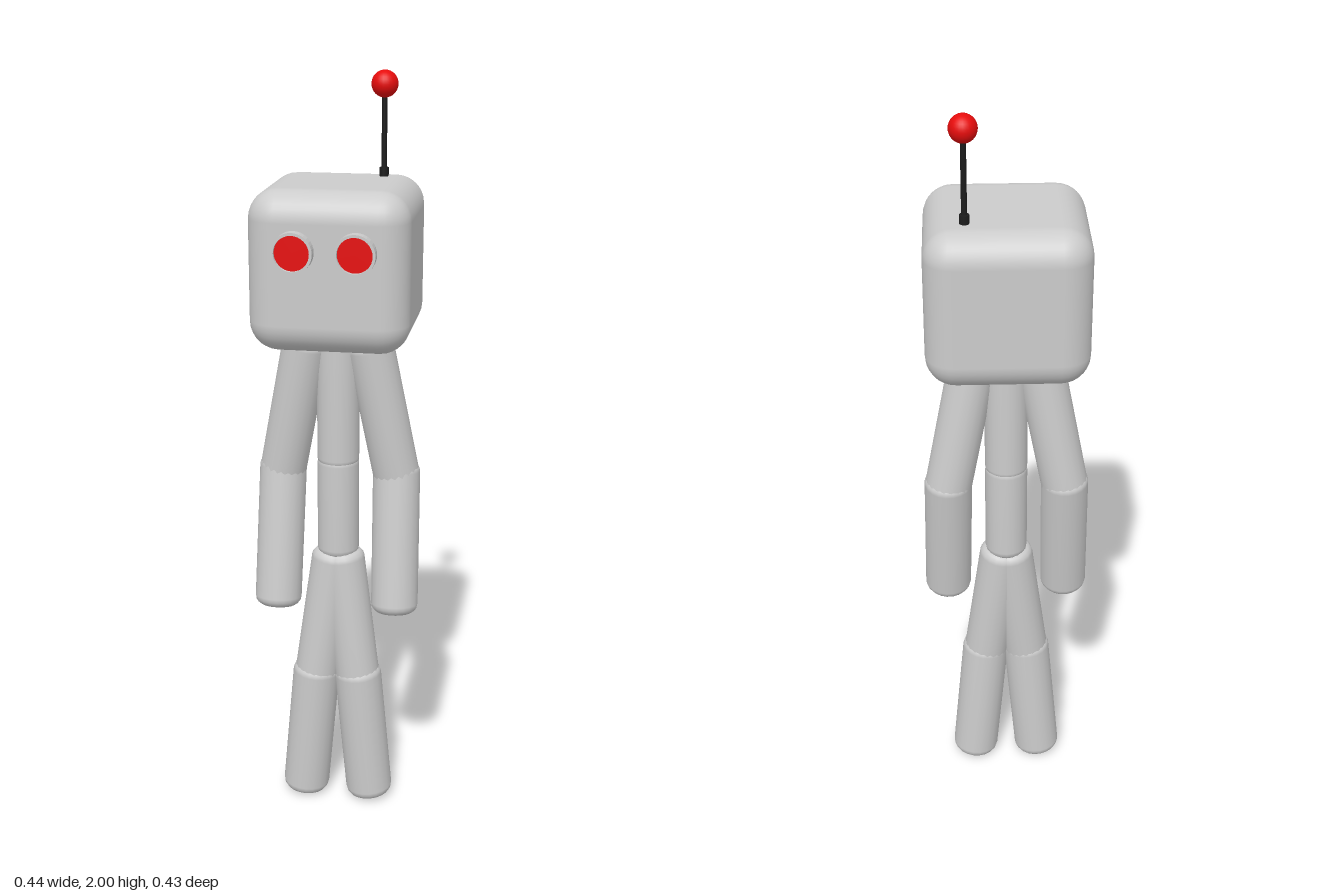
import * as THREE from 'three';
import { RoundedBoxGeometry } from 'three/addons/geometries/RoundedBoxGeometry.js';

const grey = new THREE.MeshStandardMaterial({ color: 0xcccccc });
const red = new THREE.MeshStandardMaterial({ color: 0xe60c0c });
const black = new THREE.MeshStandardMaterial({ color: 0x1c1c1c });

function add(parent, name, geometry, material, x = 0, y = 0, z = 0) {
  const mesh = new THREE.Mesh(geometry, material);
  mesh.name = name;
  mesh.position.set(x, y, z);
  parent.add(mesh);
  return mesh;
}

// Cylinder with softly rounded ends, running from point a to point b
function segment(parent, name, a, b, radius) {
  const from = new THREE.Vector3(...a), to = new THREE.Vector3(...b);
  const half = from.distanceTo(to) / 2, bevel = 0.026, steps = 4;
  const profile = [new THREE.Vector2(0, -half)];
  for (const end of [-1, 1]) {
    for (let i = 0; i <= steps; i++) {
      const t = (end < 0 ? i : steps - i) / steps * Math.PI / 2;
      profile.push(new THREE.Vector2(
        radius - bevel + bevel * Math.sin(t),
        end * (half - bevel + bevel * Math.cos(t))));
    }
  }
  profile.push(new THREE.Vector2(0, half));
  const mesh = add(parent, name, new THREE.LatheGeometry(profile, 20), grey);
  mesh.position.copy(from).add(to).multiplyScalar(0.5);
  mesh.quaternion.setFromUnitVectors(new THREE.Vector3(0, 1, 0), to.sub(from).normalize());
}

export function createModel() {
  const model = new THREE.Group();
  model.name = 'robot';

  // Head
  const head = new THREE.Group();
  head.name = 'headGroup';
  model.add(head);
  add(head, 'head', new RoundedBoxGeometry(0.404, 0.404, 0.404, 4, 0.075), grey, 0, 1.535, -0.015);

  // Eyes: a short tube with a red lens set just inside it
  const rim = [[0.044, -0.03], [0.051, -0.03], [0.051, 0.03], [0.044, 0.03], [0.044, -0.03]]
    .map(([r, y]) => new THREE.Vector2(r, y));
  for (const [side, s] of [['left', 1], ['right', -1]]) {
    const eye = new THREE.Group();
    eye.name = side + 'Eye';
    eye.position.set(s * 0.077, 1.595, 0.184);
    eye.rotation.x = Math.PI / 2;
    head.add(eye);
    const tube = new THREE.LatheGeometry(rim, 32).toNonIndexed();
    tube.computeVertexNormals();
    add(eye, side + 'EyeRim', tube, grey);
    add(eye, side + 'EyeLens', new THREE.CylinderGeometry(0.045, 0.045, 0.04, 32), red);
  }

  // Antenna
  const antenna = new THREE.Group();
  antenna.name = 'antenna';
  antenna.position.set(0.101, 0, -0.115);
  head.add(antenna);
  add(antenna, 'antennaBase', new THREE.CylinderGeometry(0.012, 0.012, 0.03, 16), black, 0, 1.744, 0);
  add(antenna, 'antennaRod', new THREE.CylinderGeometry(0.007, 0.007, 0.22, 12), black, 0, 1.845, 0);
  add(antenna, 'antennaBall', new THREE.SphereGeometry(0.034, 24, 16), red, 0, 1.966, 0);

  // Torso
  segment(model, 'upperTorso', [0, 1.345, -0.012], [0, 0.985, -0.016], 0.056);
  segment(model, 'lowerTorso', [0, 1.02, -0.016], [0, 0.73, -0.016], 0.056);

  // Arms and legs
  for (const [side, s] of [['left', 1], ['right', -1]]) {
    segment(model, side + 'UpperArm', [s * 0.08, 1.338, -0.009], [s * 0.157, 0.942, -0.038], 0.062);
    segment(model, side + 'Forearm', [s * 0.153, 0.995, -0.042], [s * 0.16, 0.587, 0.024], 0.063);
    segment(model, side + 'Thigh', [s * 0.008, 0.745, -0.015], [s * 0.06, 0.355, 0.002], 0.061);
    segment(model, side + 'Shin', [s * 0.056, 0.41, 0.002], [s * 0.092, 0.007, -0.007], 0.064);
  }
  return model;
}
